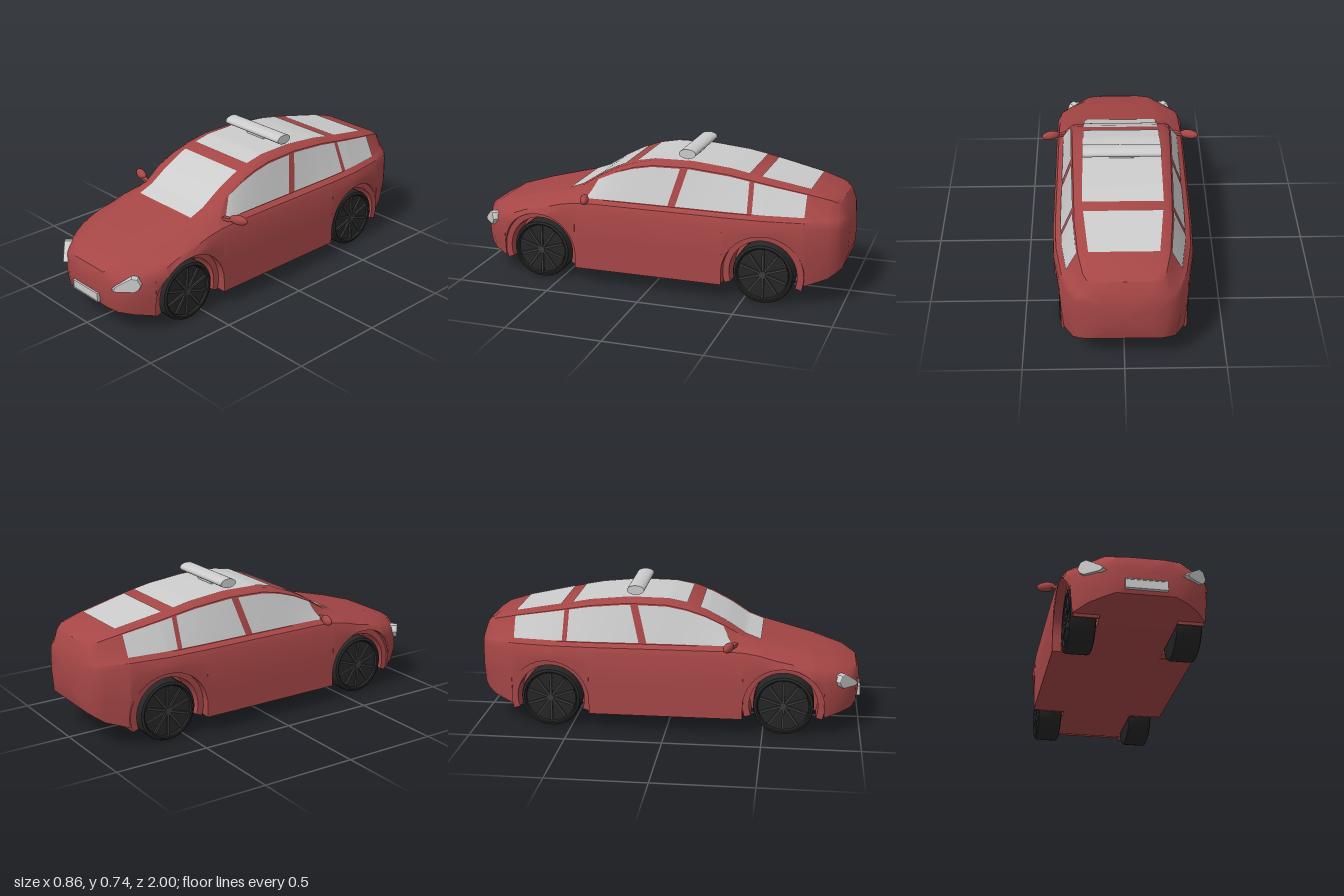
import * as THREE from 'three';
import { toCreasedNormals } from 'three/addons/utils/BufferGeometryUtils.js';

const paint = new THREE.MeshStandardMaterial({ color: 0xa64646 });
const grey = new THREE.MeshStandardMaterial({ color: 0xcccccc });
const glass = new THREE.MeshStandardMaterial({ color: 0xcccccc, side: THREE.DoubleSide });
const rubber = new THREE.MeshStandardMaterial({ color: 0x262626 });
const rimDark = new THREE.MeshStandardMaterial({ color: 0x3a3a3a });

const lerp = THREE.MathUtils.lerp;
const WHEEL_Z = 0.605, WHEEL_Y = 0.157, ARCH_R = 0.208, WELL_X = 0.185;

// Body outlines along z, as [z, value] points
const FLOOR = [[-1, 0.25], [-0.985, 0.19], [-0.92, 0.145], [-0.75, 0.09], [0.75, 0.09],
  [0.95, 0.125], [0.975, 0.14], [0.99, 0.19]];
const SIDE = [[-1, 0.12], [-0.985, 0.2], [-0.96, 0.24], [-0.92, 0.27], [-0.8, 0.315], [-0.6, 0.347],
  [-0.4, 0.355], [0.6, 0.355], [0.75, 0.35], [0.82, 0.322], [0.9, 0.275], [0.95, 0.217],
  [0.975, 0.16], [0.99, 0.09]];
const BELT = [[-1, 0.4], [-0.985, 0.445], [-0.92, 0.46], [0.3, 0.463], [0.4, 0.458], [0.48, 0.445],
  [0.75, 0.37], [0.9, 0.32], [0.975, 0.3], [0.99, 0.28]];
const ROOF = [[-1, 0.415], [-0.985, 0.465], [-0.96, 0.525], [-0.92, 0.55], [-0.8, 0.582],
  [-0.6, 0.622], [-0.4, 0.66], [-0.2, 0.68], [0, 0.677], [0.1, 0.658], [0.2, 0.622], [0.3, 0.57],
  [0.4, 0.505], [0.48, 0.475], [0.75, 0.41], [0.9, 0.367], [0.975, 0.328], [0.99, 0.292]];
const ROOF_EDGE = [[-1, 0.08], [-0.985, 0.15], [-0.92, 0.195], [-0.8, 0.22], [-0.6, 0.238],
  [-0.2, 0.25], [0.3, 0.265], [0.48, 0.24], [0.75, 0.21], [0.9, 0.18], [0.975, 0.12], [0.99, 0.06]];

function at(line, z) {
  let i = 0;
  while (i < line.length - 2 && z > line[i + 1][0]) i++;
  const [z0, v0] = line[i], [z1, v1] = line[i + 1];
  return lerp(v0, v1, (z - z0) / (z1 - z0));
}

function station(z) {
  const side = at(SIDE, z), belt = at(BELT, z), roof = at(ROOF, z);
  return {
    side, belt, roof, floor: at(FLOOR, z),
    sill: side - Math.min(0.02, 0.3 * (0.355 - side)),
    xBelt: side * 0.875, xTop: at(ROOF_EDGE, z),
    yTop: roof - Math.min(0.02, 0.1 * (roof - belt)),
  };
}

// Half cross-section from floor centre up to roof centre, notched at the wheels
function section(z) {
  const { floor, sill, side, xBelt, belt, xTop, yTop, roof } = station(z);
  const dz = Math.abs(Math.abs(z) - WHEEL_Z);
  const arch = dz < ARCH_R - 1e-5
    ? Math.max(floor, WHEEL_Y + Math.sqrt(ARCH_R ** 2 - dz ** 2)) : floor;
  const shoulder = Math.max(belt - 0.05, arch + 0.005);
  const xWell = Math.min(WELL_X, sill * 0.8);
  return [
    [0, floor], [xWell, floor], [xWell, arch],
    [lerp(sill, side, (arch - floor) * 3), arch],
    [side, lerp(arch, shoulder, 0.5)], [side * 0.993, shoulder],
    [lerp(side, xBelt, 0.35), lerp(shoulder, belt, 0.65)], [xBelt, belt],
    [xTop, yTop], [xTop - 0.03, roof], [0, roof],
  ];
}

function named(obj, name) {
  obj.name = name;
  return obj;
}

function meshFrom(pos, index, mat, name) {
  const g = new THREE.BufferGeometry();
  g.setAttribute('position', new THREE.Float32BufferAttribute(pos, 3));
  g.setIndex(index);
  return named(new THREE.Mesh(toCreasedNormals(g, 0.6), mat), name);
}

function makeBody() {
  const stops = [FLOOR, SIDE, BELT, ROOF, ROOF_EDGE].flatMap(line => line.map(p => p[0]));
  for (const s of [-1, 1]) {
    stops.push(s * WHEEL_Z - ARCH_R, s * WHEEL_Z + ARCH_R);
    for (let i = 0; i <= 18; i++) {
      stops.push(s * WHEEL_Z + (ARCH_R - 0.0006) * Math.cos(Math.PI * i / 18));
    }
  }
  const zs = [...new Set(stops)].sort((a, b) => a - b);
  const rings = zs.map(z => {
    const half = section(z);
    return [...half, ...half.slice(1, -1).reverse().map(([x, y]) => [-x, y])];
  });
  const n = rings[0].length, pos = [], idx = [];
  rings.forEach((ring, i) => ring.forEach(([x, y]) => pos.push(x, y, zs[i])));
  for (let i = 0; i < zs.length - 1; i++) {
    for (let j = 0; j < n; j++) {
      const a = i * n + j, b = i * n + (j + 1) % n;
      idx.push(a, b, a + n, b, b + n, a + n);
    }
  }
  // End caps
  const last = (zs.length - 1) * n, c = zs.length * n;
  pos.push(0, 0.33, zs[0], 0, 0.24, zs[zs.length - 1]);
  for (let j = 0; j < n; j++) {
    const k = (j + 1) % n;
    idx.push(c, k, j, c + 1, last + j, last + k);
  }
  return meshFrom(pos, idx, paint, 'body');
}

// Thin sheet following the body, from a point function of (u, v)
function sheet(fn, nu, nv, name) {
  const pos = [], idx = [];
  for (let i = 0; i <= nu; i++) for (let j = 0; j <= nv; j++) pos.push(...fn(i / nu, j / nv));
  for (let i = 0; i < nu; i++) for (let j = 0; j < nv; j++) {
    const a = i * (nv + 1) + j, b = a + nv + 1;
    idx.push(a, b, a + 1, a + 1, b, b + 1);
  }
  return meshFrom(pos, idx, glass, name);
}

const roofGlass = (z0, z1, w0, w1, name) => sheet((u, v) => {
  const z = lerp(z0, z1, u);
  return [lerp(-1, 1, v) * lerp(w0, w1, u), station(z).roof + 0.004, z];
}, 24, 1, name);

// Side window between back and front z, given along its bottom and its top
const sideGlass = (side, [b0, b1, t0, t1], name) => sheet((u, v) => {
  const z = lerp(lerp(b0, b1, u), lerp(t0, t1, u), v);
  const s = station(z), t = lerp(0.02, 0.96, v);
  return [side * (lerp(s.xBelt, s.xTop, t) + 0.004), lerp(s.belt, s.yTop, t) + 0.002, z];
}, 24, 4, name);

function makeWheel() {
  const wheel = new THREE.Group();
  const profile = [[0, -0.065], [0.14, -0.065], [0.152, -0.06], [0.156, -0.05], [0.156, 0.05],
    [0.152, 0.06], [0.14, 0.065], [0.134, 0.062], [0.13, 0.05], [0, 0.05]];
  const tyre = new THREE.LatheGeometry(profile.map(p => new THREE.Vector2(...p)), 40);
  wheel.add(named(new THREE.Mesh(toCreasedNormals(tyre, 0.6), rubber), 'tyre'));
  for (let i = 0; i < 10; i++) {
    const spoke = new THREE.BoxGeometry(0.125, 0.012, 0.012);
    spoke.translate(0.065, 0.054, 0).rotateY(i * Math.PI / 5);
    wheel.add(named(new THREE.Mesh(spoke, rimDark), 'spoke'));
  }
  const hub = new THREE.CylinderGeometry(0.018, 0.022, 0.014, 20);
  wheel.add(named(new THREE.Mesh(hub.translate(0, 0.056, 0), rimDark), 'hub'));
  return wheel;
}

function makeArchLiner() {
  const s = new THREE.Shape();
  s.absarc(0, 0, ARCH_R + 0.002, -0.33, Math.PI + 0.33, false);
  s.absarc(0, 0, 0.176, Math.PI + 0.33, -0.33, true);
  const g = new THREE.ExtrudeGeometry(s, { depth: 0.125, bevelEnabled: false, curveSegments: 28 });
  g.translate(0, 0, -0.0625).rotateY(Math.PI / 2);
  return named(new THREE.Mesh(toCreasedNormals(g, 0.6), paint), 'archLiner');
}

function makeHeadlight(side) {
  const pts = [[-0.073, -0.03], [-0.05, -0.04], [0.04, -0.036], [0.062, -0.02], [0.073, 0.002],
    [0.055, 0.034], [0.025, 0.038], [-0.05, -0.008]].map(([x, y]) => new THREE.Vector2(x * side, y));
  const g = new THREE.ExtrudeGeometry(new THREE.Shape(pts), {
    depth: 0.03, bevelThickness: 0.006, bevelSize: 0.004, bevelOffset: -0.004, bevelSegments: 2 });
  const light = named(new THREE.Mesh(toCreasedNormals(g.translate(0, 0, -0.022), 0.5), grey), 'headlight');
  light.position.set(side * 0.243, 0.288, 0.927);
  light.rotation.y = side * 0.72;
  return light;
}

function place(geometry, mat, name, x, y, z) {
  const mesh = named(new THREE.Mesh(geometry, mat), name);
  mesh.position.set(x, y, z);
  return mesh;
}

function makeMirror(side) {
  const mirror = named(new THREE.Group(), 'mirror');
  const podShape = new THREE.SphereGeometry(1, 20, 14).scale(0.05, 0.025, 0.022);
  const pod = place(podShape, paint, 'mirrorPod', side * 0.383, 0.48, 0.325);
  const arm = place(new THREE.BoxGeometry(0.075, 0.016, 0.022), paint, 'mirrorArm', side * 0.325, 0.472, 0.345);
  pod.rotation.y = arm.rotation.y = side * 0.3;
  mirror.add(pod, arm);
  return mirror;
}

export function createModel() {
  const car = named(new THREE.Group(), 'car');
  car.add(makeBody());
  car.add(roofGlass(0.165, 0.48, 0.2, 0.2, 'windscreen'));
  car.add(roofGlass(-0.5, 0.1, 0.2, 0.2, 'roofWindow'));
  car.add(roofGlass(-0.81, -0.56, 0.17, 0.195, 'rearWindow'));

  for (const side of [-1, 1]) {
    car.add(sideGlass(side, [-0.1, 0.35, -0.15, 0.29], 'frontSideWindow'));
    car.add(sideGlass(side, [-0.515, -0.14, -0.51, -0.19], 'middleSideWindow'));
    car.add(sideGlass(side, [-0.8, -0.54, -0.8, -0.535], 'rearSideWindow'));
    car.add(makeHeadlight(side), makeMirror(side));
    for (const end of [-1, 1]) {
      const wheel = named(makeWheel(), end > 0 ? 'frontWheel' : 'rearWheel');
      wheel.position.set(side * 0.255, WHEEL_Y, end * WHEEL_Z);
      wheel.rotation.z = -side * Math.PI / 2;
      const liner = makeArchLiner();
      liner.position.set(side * 0.248, WHEEL_Y, end * WHEEL_Z);
      car.add(wheel, liner);
    }
    // Raised rim of the number plate
    car.add(place(new THREE.BoxGeometry(0.2, 0.005, 0.055), grey, 'plateRim', 0, 0.183 + side * 0.0215, 0.9725));
    car.add(place(new THREE.BoxGeometry(0.005, 0.048, 0.055), grey, 'plateRim', side * 0.0975, 0.183, 0.9725));
  }
  car.add(place(new THREE.BoxGeometry(0.19, 0.04, 0.05), grey, 'plate', 0, 0.183, 0.972));

  // Roof light bar on a short foot
  const bar = new THREE.CylinderGeometry(1, 1, 0.4, 32).rotateZ(Math.PI / 2).scale(1, 0.024, 0.045);
  car.add(place(bar, grey, 'lightBar', 0, 0.717, -0.17));
  car.add(place(new THREE.BoxGeometry(0.125, 0.03, 0.035), grey, 'lightBarFoot', 0, 0.688, -0.17));
  return car;
}
